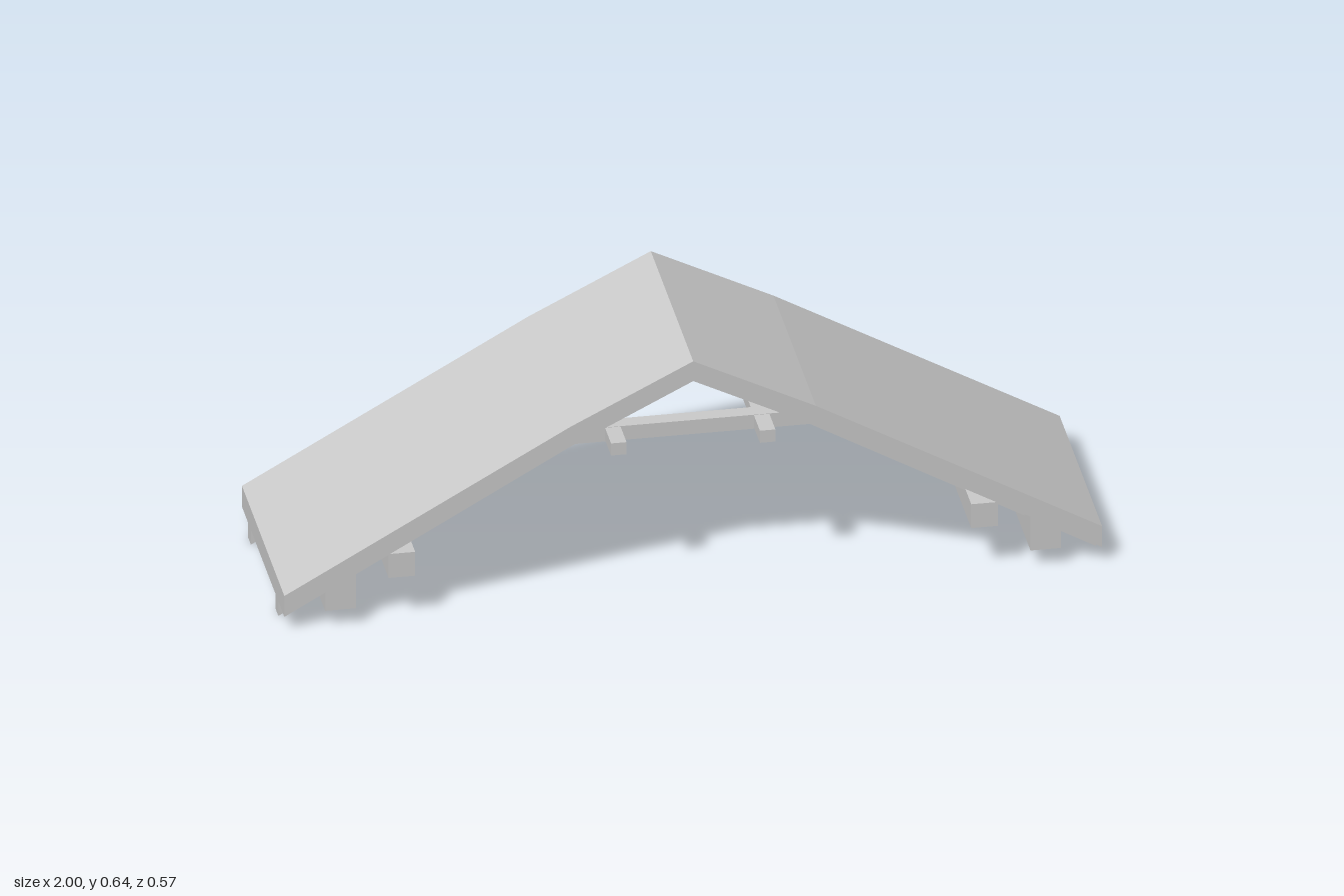
import * as THREE from 'three';

const material = new THREE.MeshStandardMaterial({ color: 0xcccccc, flatShading: true });

// Extrudes an outline in the xy plane along z, centred on zCentre
function addPrism(group, name, points, depth, zCentre = 0) {
  const shape = new THREE.Shape(points.map(([x, y]) => new THREE.Vector2(x, y)));
  const geometry = new THREE.ExtrudeGeometry(shape, { depth, bevelEnabled: false });
  geometry.translate(0, 0, zCentre - depth / 2);
  const mesh = new THREE.Mesh(geometry, material);
  mesh.name = name;
  group.add(mesh);
}

// Mirrors an outline across x = 0, keeping its winding
const mirror = (points) => points.map(([x, y]) => [-x, y]).reverse();

export function createModel() {
  const model = new THREE.Group();
  model.name = 'gableRoof';
  const length = 0.572;

  // Roof slab with a slight kink in each slope
  addPrism(model, 'roofSlab', [
    [-1, 0.04], [-0.3, 0.438], [0, 0.588], [0.3, 0.438], [1, 0.04],
    [1, 0.097], [0.3, 0.492], [0, 0.642], [-0.3, 0.492], [-1, 0.097],
  ], length);

  // Two frames: a pair of rafters joined by a collar beam
  const rafter = [[1, 0], [1, 0.04], [0.3, 0.438], [0.3, 0.4]];
  for (const z of [-0.185, 0.185]) {
    addPrism(model, 'leftRafter', rafter, 0.04, z);
    addPrism(model, 'rightRafter', mirror(rafter), 0.04, z);
    addPrism(model, 'collarBeam', [[-0.3, 0.4], [0.3, 0.4], [0.3, 0.438], [-0.3, 0.438]], 0.04, z);
  }

  // Lengthwise beams, the same on both slopes
  const beams = {
    WallPlate: [[0.825, 0.047], [0.9, 0.047], [0.9, 0.097], [0.825, 0.14]],
    Purlin: [[0.68, 0.122], [0.745, 0.122], [0.745, 0.187], [0.68, 0.187]],
    CeilingBeam: [[0.163, 0.404], [0.201, 0.404], [0.201, 0.437], [0.163, 0.437]],
  };
  for (const [name, outline] of Object.entries(beams)) {
    addPrism(model, 'left' + name, outline, length);
    addPrism(model, 'right' + name, mirror(outline), length);
  }
  return model;
}
